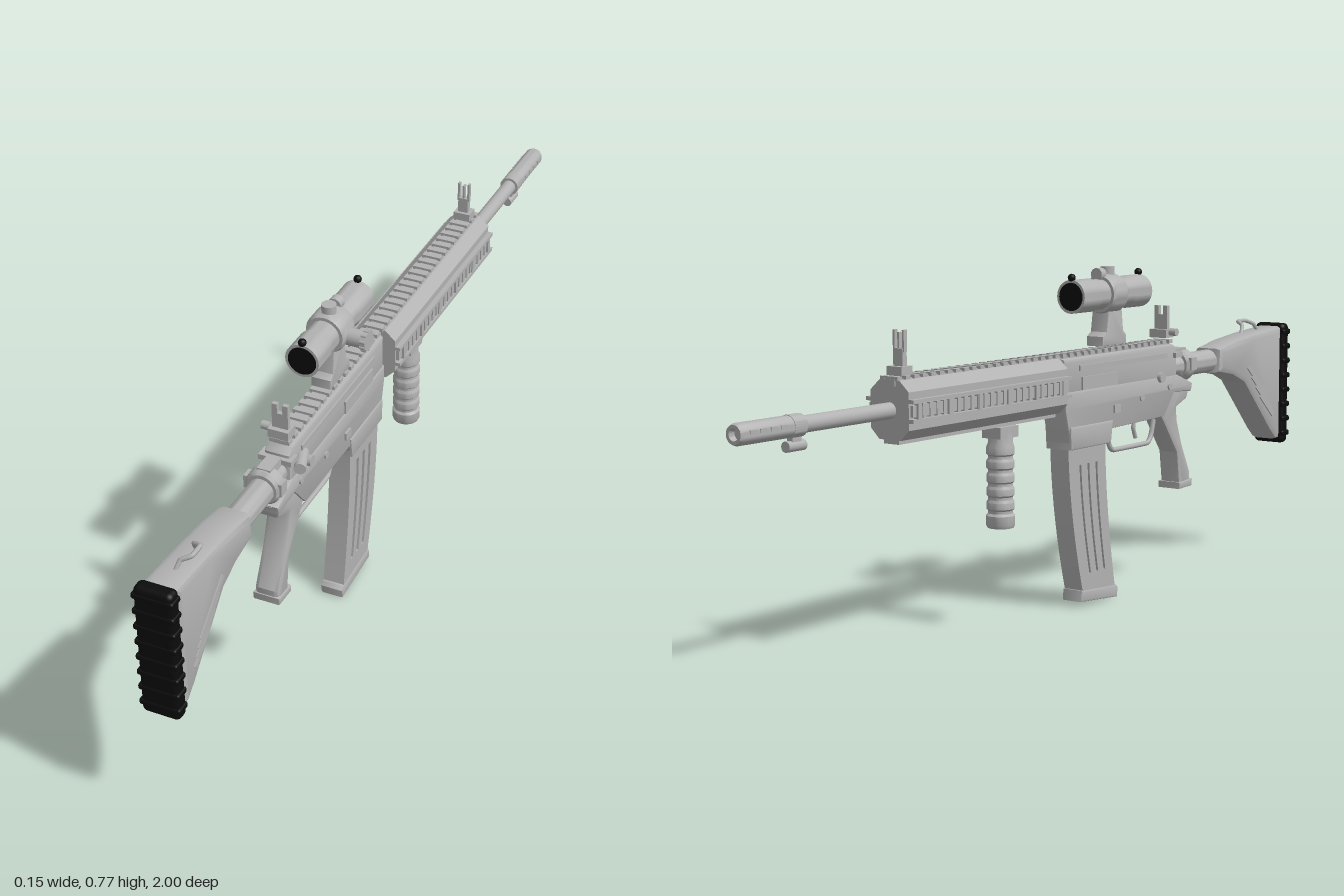
import * as THREE from 'three';
import { RoundedBoxGeometry } from 'three/addons/geometries/RoundedBoxGeometry.js';
import { toCreasedNormals } from 'three/addons/utils/BufferGeometryUtils.js';

const grey = new THREE.MeshStandardMaterial({ color: 0xb2b2b2 });
grey.name = 'gunmetal grey';
const black = new THREE.MeshStandardMaterial({ color: 0x0c0c0c });
black.name = 'rubber black';

export function createModel() {
  const model = new THREE.Group();
  model.name = 'rifle';
  const body = new THREE.Group();
  body.name = 'rifleBody';
  body.position.x = -0.013; // the side knob shifts the centre line
  model.add(body);

  const add = (name, geo, mat = grey) => {
    const mesh = new THREE.Mesh(geo, mat);
    mesh.name = name;
    body.add(mesh);
    return mesh;
  };
  const box = (name, w, h, d, x, y, z, mat) => {
    const m = add(name, new THREE.BoxGeometry(w, h, d), mat);
    m.position.set(x, y, z);
    return m;
  };
  const toShape = (pts) => new THREE.Shape(pts.map((p) => new THREE.Vector2(...p)));
  // side profile given as [z, y], extruded across x
  const side = (name, pts, width, bevel = 0, x = 0, holes = []) => {
    const shape = toShape(pts);
    holes.forEach((h) => shape.holes.push(toShape(h)));
    const depth = width - 2 * bevel;
    const geo = new THREE.ExtrudeGeometry(shape, {
      depth, bevelEnabled: bevel > 0, bevelSize: bevel, bevelOffset: -bevel, bevelThickness: bevel, bevelSegments: 2,
    });
    geo.translate(0, 0, -depth / 2).rotateY(-Math.PI / 2).translate(x, 0, 0);
    return add(name, toCreasedNormals(geo, 0.5));
  };
  // turned part along z, profile as [radius, z] with z increasing
  const turnedZ = (name, pts, x, y, mat) => {
    const geo = new THREE.LatheGeometry(pts.map((p) => new THREE.Vector2(...p)), 28);
    const m = add(name, toCreasedNormals(geo.rotateX(Math.PI / 2), 0.6), mat);
    m.position.set(x, y, 0);
    return m;
  };
  const rod = (name, r, len, x, y, z, axis = 'z', mat, sides = 20) => {
    const geo = new THREE.CylinderGeometry(r, r, len, sides);
    if (axis === 'z') geo.rotateX(Math.PI / 2);
    if (axis === 'x') geo.rotateZ(Math.PI / 2);
    const m = add(name, geo, mat);
    m.position.set(x, y, z);
    return m;
  };
  const wire = (name, pts, r) => {
    const path = new THREE.CatmullRomCurve3(pts.map((p) => new THREE.Vector3(...p)), false, 'catmullrom', 0.15);
    return add(name, new THREE.TubeGeometry(path, 36, r, 8));
  };

  // butt pad with ribs
  add('buttPad', new RoundedBoxGeometry(0.084, 0.31, 0.034, 3, 0.012), black).position.set(0, 0.434, 0.981);
  for (let i = 0; i < 8; i++) {
    add('buttPadRib', new RoundedBoxGeometry(0.09, 0.014, 0.034, 2, 0.005), black).position.set(0, 0.305 + i * 0.0375, 0.983);
  }

  // stock, its slanted ribs and sling loop
  side('stock', [[0.966, 0.292], [0.966, 0.582], [0.83, 0.572], [0.74, 0.562], [0.665, 0.547], [0.66, 0.488],
    [0.73, 0.475], [0.785, 0.452], [0.915, 0.318], [0.945, 0.292]], 0.076, 0.014);
  for (const s of [-1, 1]) {
    for (let i = 0; i < 4; i++) {
      const rib = box('stockRib', 0.008, 0.012, 0.13 - i * 0.015, s * 0.037, 0.45 - i * 0.021, 0.845 + i * 0.015);
      rib.rotation.x = 0.72;
    }
  }
  wire('slingLoop', [[0, 0.57, 0.91], [0.006, 0.592, 0.895], [0.025, 0.6, 0.885], [0.025, 0.6, 0.85],
    [0.006, 0.592, 0.84], [0, 0.57, 0.825]], 0.005);

  // buffer tube and its collars
  turnedZ('bufferTube', [[0, 0.46], [0.022, 0.46], [0.024, 0.5], [0.028, 0.51], [0.028, 0.67], [0, 0.67]], 0, 0.516);
  turnedZ('tubeCollar', [[0, 0.515], [0.034, 0.515], [0.04, 0.522], [0.04, 0.545], [0.034, 0.552], [0, 0.552]], 0, 0.518);
  box('collarLug', 0.086, 0.03, 0.025, 0, 0.522, 0.534);
  box('collarTab', 0.03, 0.02, 0.05, 0, 0.55, 0.515);

  // receiver with magazine well
  side('lowerReceiver', [[0.475, 0.5], [0.015, 0.5], [0.015, 0.46], [0.028, 0.41], [0.035, 0.372], [0.19, 0.372],
    [0.2, 0.4], [0.42, 0.405], [0.465, 0.46], [0.54, 0.455], [0.545, 0.475], [0.48, 0.5]], 0.066, 0.005);
  side('upperReceiver', [[0.48, 0.49], [0.48, 0.56], [0.465, 0.574], [0.012, 0.574], [0.012, 0.49]], 0.06, 0.008);
  side('magazineWell', [[0.03, 0.42], [0.034, 0.368], [0.192, 0.368], [0.2, 0.42]], 0.072, 0.004);
  for (const s of [-1, 1]) {
    box('receiverRidge', 0.006, 0.012, 0.36, s * 0.031, 0.55, 0.25);
    box('receiverPanel', 0.006, 0.03, 0.14, s * 0.031, 0.515, 0.15);
    rod('pin', 0.008, 0.006, s * 0.034, 0.475, 0.44, 'x');
    rod('pin', 0.008, 0.006, s * 0.034, 0.46, 0.32, 'x');
    box('magazineRelease', 0.008, 0.018, 0.025, s * 0.034, 0.445, 0.215);
    rod('selector', 0.012, 0.01, s * 0.036, 0.5, 0.4, 'x');
  }
  rod('boltAssist', 0.013, 0.06, 0.038, 0.53, 0.445).rotation.y = 0.35;
  box('chargingHandle', 0.075, 0.012, 0.03, 0, 0.548, 0.475);

  // toothed top rail
  box('topRail', 0.032, 0.014, 1.02, 0, 0.573, -0.045);
  for (let i = 0; i < 38; i++) box('railTooth', 0.045, 0.009, 0.015, 0, 0.581, 0.46 - i * 0.0272);

  // octagonal handguard with side and bottom rails
  const guard = [[-0.026, 0.578], [-0.05, 0.556], [-0.05, 0.478], [-0.028, 0.456], [0.028, 0.456], [0.05, 0.478], [0.05, 0.556], [0.026, 0.578]];
  const guardGeo = new THREE.ExtrudeGeometry(toShape(guard), { depth: 0.55, bevelEnabled: false });
  add('handguard', guardGeo.translate(0, 0, -0.552));
  for (const s of [-1, 1]) {
    box('sideRail', 0.008, 0.024, 0.54, s * 0.053, 0.517, -0.277);
    for (const y of [0.497, 0.537]) box('sideRailEdge', 0.014, 0.008, 0.55, s * 0.055, y, -0.277);
    for (let i = 0; i < 6; i++) box('sideRailBar', 0.012, 0.036, 0.012, s * 0.056, 0.517, -0.03 - i * 0.1);
    for (let i = 0; i < 22; i++) box('sideRailTooth', 0.009, 0.03, 0.011, s * 0.055, 0.517, -0.04 - i * 0.0225);
  }
  box('bottomRail', 0.04, 0.012, 0.54, 0, 0.453, -0.277);

  // barrel, muzzle device and gas lug
  rod('barrel', 0.017, 0.5, 0, 0.516, -0.7);
  turnedZ('muzzle', [[0, -0.985], [0.011, -0.985], [0.012, -1], [0.019, -1], [0.022, -0.993], [0.022, -0.85], [0.018, -0.83], [0, -0.83]], 0, 0.516);
  for (let i = 0; i < 4; i++) {
    for (const s of [-1, 1]) box('muzzleVent', 0.004, 0.008, 0.018, s * 0.021, 0.52, -0.885 - i * 0.028);
  }
  turnedZ('gasBand', [[0, -0.855], [0.023, -0.855], [0.023, -0.82], [0, -0.82]], 0, 0.516);
  box('gasPost', 0.014, 0.035, 0.025, 0, 0.488, -0.835);
  rod('gasLug', 0.011, 0.05, 0, 0.477, -0.835);

  // front sight
  box('frontSightBase', 0.04, 0.018, 0.034, 0, 0.595, -0.52);
  box('frontSightStem', 0.024, 0.04, 0.014, 0, 0.62, -0.518);
  for (const x of [-0.012, 0, 0.012]) box('frontSightPost', 0.005, x ? 0.045 : 0.035, 0.01, x, 0.655, -0.518);

  // rear sight
  box('rearSightBase', 0.046, 0.02, 0.034, 0, 0.6, 0.455);
  rod('rearSightKnob', 0.009, 0.018, -0.034, 0.604, 0.455, 'x');
  box('rearSightLeaf', 0.036, 0.036, 0.01, 0, 0.627, 0.456);
  for (const s of [-1, 1]) box('rearSightEar', 0.012, 0.022, 0.01, s * 0.012, 0.655, 0.456);

  // scope on its mount
  side('scopeMount', [[0.175, 0.59], [0.175, 0.612], [0.19, 0.622], [0.2, 0.685], [0.25, 0.685], [0.258, 0.622], [0.27, 0.612], [0.27, 0.59]], 0.046, 0.003);
  const scopeY = 0.708;
  turnedZ('scopeTube', [[0, 0.09], [0.031, 0.09], [0.032, 0.08], [0.038, 0.08], [0.038, 0.15], [0.035, 0.16],
    [0.035, 0.285], [0.038, 0.295], [0.038, 0.355], [0.032, 0.355], [0.031, 0.345], [0, 0.345]], 0, scopeY);
  turnedZ('scopeRing', [[0, 0.19], [0.042, 0.19], [0.046, 0.2], [0.046, 0.24], [0.042, 0.25], [0, 0.25]], 0, scopeY);
  for (const z of [0.083, 0.352]) {
    rod('scopeLens', 0.0315, 0.008, 0, scopeY, z, 'z', black, 28);
    add('scopeTip', new THREE.SphereGeometry(0.009, 12, 8), black).position.set(0, 0.751, z);
  }
  rod('topTurret', 0.016, 0.03, 0, 0.755, 0.225, 'y');
  rod('topTurretCap', 0.015, 0.02, 0, 0.753, 0.19);
  rod('sideTurret', 0.019, 0.05, 0.055, 0.7, 0.22, 'x');
  rod('sideTurretKnob', 0.022, 0.012, 0.082, 0.7, 0.22, 'x');
  for (let i = 0; i < 10; i++) {
    const a = (i * Math.PI) / 5;
    rod('knobKnurl', 0.004, 0.012, 0.082, 0.7 + 0.021 * Math.cos(a), 0.22 + 0.021 * Math.sin(a), 'x', grey, 6);
  }

  // curved magazine: slotted shell over a narrower core
  const magZ = (u, t) => THREE.MathUtils.lerp(0.036 + 0.062 * t ** 1.7, 0.182 + 0.043 * t ** 1.7, u);
  const strip = (u0, u1, t0, t1) => {
    const front = [], back = [];
    for (let i = 0; i <= 10; i++) {
      const t = t0 + ((t1 - t0) * i) / 10, y = 0.38 - 0.36 * t;
      front.push([magZ(u0, t), y]);
      back.unshift([magZ(u1, t), y]);
    }
    return front.concat(back);
  };
  const slots = [0.24, 0.46, 0.68].map((u) => strip(u, u + 0.09, 0.14, 0.85));
  side('magazineShell', strip(0, 1, 0, 1), 0.05, 0, 0, slots);
  side('magazineCore', strip(0.04, 0.96, 0.02, 0.98), 0.04);
  side('magazineFloor', [[0.085, 0.012], [0.088, 0.038], [0.228, 0.03], [0.236, 0.022], [0.232, 0]], 0.054, 0.004);

  // pistol grip, trigger and guard
  side('pistolGrip', [[0.545, 0.472], [0.53, 0.437], [0.485, 0.42], [0.488, 0.39], [0.51, 0.33], [0.548, 0.255], [0.546, 0.225],
    [0.498, 0.222], [0.486, 0.31], [0.43, 0.385], [0.405, 0.415], [0.43, 0.47], [0.515, 0.49]], 0.056, 0.01);
  side('gripBase', [[0.55, 0.24], [0.548, 0.222], [0.493, 0.22], [0.492, 0.236]], 0.062, 0.003);
  wire('triggerGuard', [[0, 0.405, 0.425], [0, 0.36, 0.412], [0, 0.342, 0.395], [0, 0.342, 0.25], [0, 0.355, 0.235], [0, 0.4, 0.215]], 0.006);
  wire('trigger', [[0, 0.41, 0.34], [0, 0.385, 0.335], [0, 0.36, 0.345]], 0.005);

  // ribbed vertical foregrip
  const grip = [[0, 0.223], [0.029, 0.223], [0.032, 0.23], [0.032, 0.25]];
  for (let i = 0; i < 5; i++) {
    const y = 0.255 + i * 0.03;
    grip.push([0.027, y], [0.027, y + 0.006], [0.031, y + 0.01], [0.031, y + 0.024]);
  }
  grip.push([0.027, 0.41], [0.027, 0.44], [0, 0.44]);
  const gripGeo = new THREE.LatheGeometry(grip.map((p) => new THREE.Vector2(...p)), 24);
  add('foregrip', toCreasedNormals(gripGeo, 0.6)).position.z = -0.183;
  box('foregripClamp', 0.05, 0.025, 0.064, 0, 0.433, -0.183);

  return model;
}
